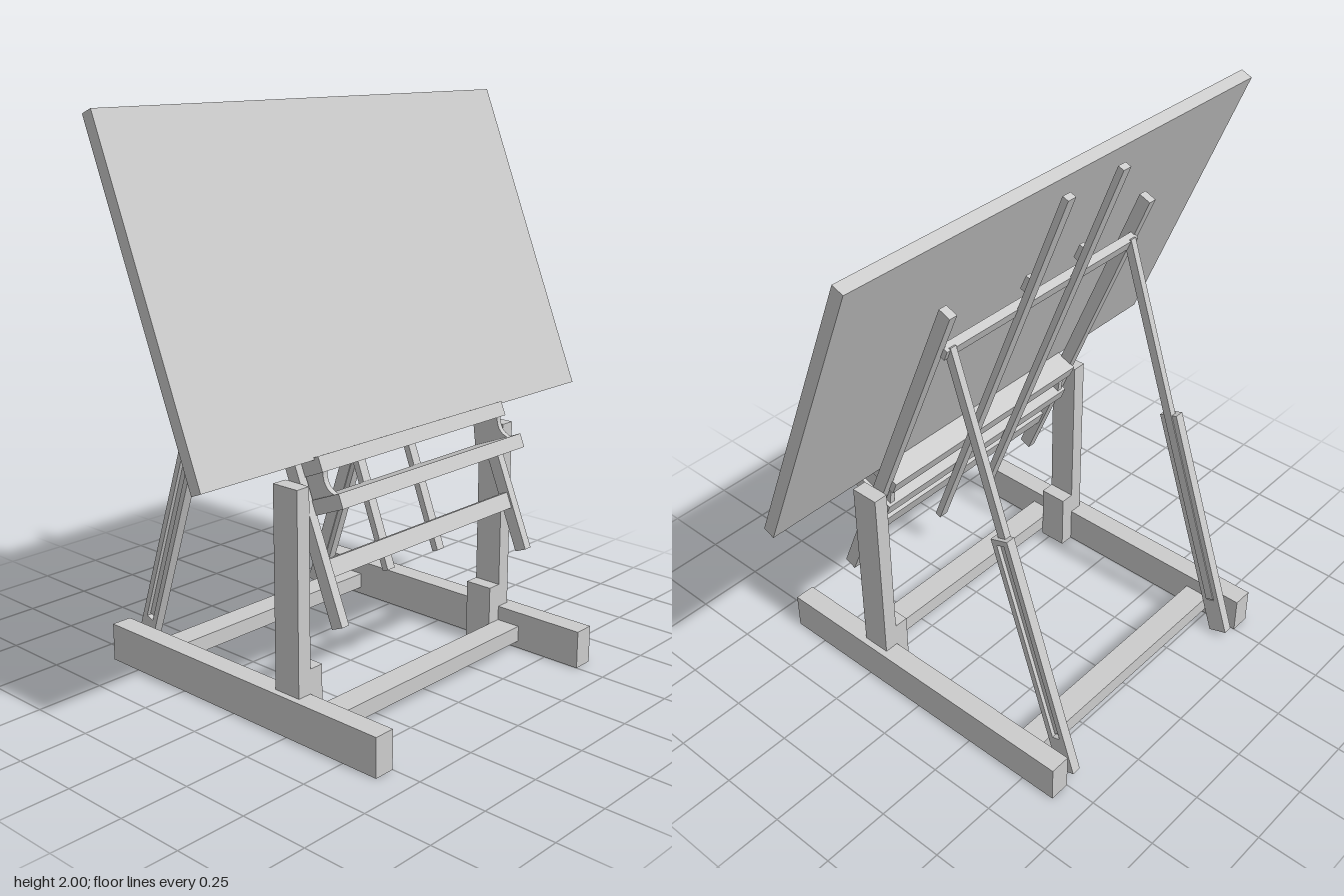
import * as THREE from 'three';

const material = new THREE.MeshStandardMaterial({ color: 0xcccccc, flatShading: true });

export function createModel() {
  const model = new THREE.Group();

  function add(name, geometry) {
    const mesh = new THREE.Mesh(geometry, material);
    mesh.name = name;
    model.add(mesh);
    return mesh;
  }

  // Upright block from its extents
  function block(name, x0, x1, y0, y1, z0, z1) {
    const mesh = add(name, new THREE.BoxGeometry(Math.abs(x1 - x0), y1 - y0, z1 - z0));
    mesh.position.set((x0 + x1) / 2, (y0 + y1) / 2, (z0 + z1) / 2);
  }

  // Place a mesh so its local y runs between two [z, y] points
  function lean(mesh, x, a, b) {
    mesh.position.set(x, (a[1] + b[1]) / 2, (a[0] + b[0]) / 2);
    mesh.rotation.x = Math.atan2(b[0] - a[0], b[1] - a[1]);
  }

  // Tilted bar between two [z, y] points
  function bar(name, x, width, a, b, depth) {
    const length = Math.hypot(b[0] - a[0], b[1] - a[1]);
    lean(add(name, new THREE.BoxGeometry(width, length, depth)), x, a, b);
  }

  // Side profile (shape x = model z) extruded across x, centred on x = 0
  function profile(shape, width) {
    return new THREE.ExtrudeGeometry(shape, { depth: width, bevelEnabled: false, curveSegments: 10 })
      .translate(0, 0, -width / 2)
      .rotateY(-Math.PI / 2);
  }

  // Drawing board
  bar('drawingBoard', 0, 1.88, [0.26, 0.91], [-0.18, 1.99], 0.045);

  // Ledge under the board and tray below it
  bar('boardLedge', 0, 0.94, [0.17, 0.852], [0.307, 0.91], 0.052);
  bar('tray', 0, 0.94, [0.21, 0.733], [0.394, 0.808], 0.05);

  // Crossbars between the tilted rails
  bar('lowerCrossbar', 0, 0.94, [0.344, 0.543], [0.322, 0.597], 0.03);
  bar('upperCrossbar', 0, 0.94, [-0.076, 1.498], [-0.091, 1.535], 0.032);

  // Base crossbars
  block('frontBaseCrossbar', -0.5, 0.5, 0.027, 0.085, 0.286, 0.38);
  block('rearBaseCrossbar', -0.5, 0.5, 0.027, 0.085, -0.5, -0.405);

  // Concave bracket joining ledge and tray
  const bracket = new THREE.Shape();
  bracket.moveTo(0.2, 0.84);
  bracket.lineTo(0.21, 0.76);
  bracket.lineTo(0.37, 0.815);
  bracket.quadraticCurveTo(0.305, 0.82, 0.305, 0.885);
  bracket.closePath();

  // Slotted lower leg, local y along its length
  const legTop = [-0.305, 0.894], legFoot = [-0.602, 0.018];
  const half = Math.hypot(legTop[0] - legFoot[0], legTop[1] - legFoot[1]) / 2;
  const sleeve = new THREE.Shape([
    [-0.037, -half], [0.037, -half], [0.037, half], [-0.037, half],
  ].map(p => new THREE.Vector2(...p)));
  sleeve.holes.push(new THREE.Path([
    [-0.016, 0.14 - half], [-0.016, half - 0.02], [0.016, half - 0.02], [0.016, 0.14 - half],
  ].map(p => new THREE.Vector2(...p))));

  for (const s of [-1, 1]) {
    // Base, post and inner foot block
    block('baseRunner', s * 0.5, s * 0.577, 0, 0.138, -0.635, 0.64);
    block('post', s * 0.499, s * 0.553, 0.138, 0.84, 0.18, 0.286);
    block('footBlock', s * 0.445, s * 0.5, 0, 0.225, 0.18, 0.286);

    // Tilted rail carrying the board
    bar('tiltRail', s * 0.482, 0.032, [0.403, 0.397], [-0.127, 1.685], 0.047);

    add('trayBracket', profile(bracket, 0.02)).position.x = s * 0.447;

    // Telescoping rear leg
    lean(add('lowerLeg', profile(sleeve, 0.035)), s * 0.452, legFoot, legTop);
    bar('upperLeg', s * 0.443, 0.025, [-0.555, 0.157], [-0.09, 1.53], 0.033);

    // Slender rod behind the board with a small peg
    bar('backRod', s * 0.13, 0.036, [0.295, 0.465], [-0.29, 1.982], 0.024);
    bar('rodPeg', s * 0.13, 0.02, [-0.118, 1.6], [-0.142, 1.655], 0.022);
  }

  return model;
}
